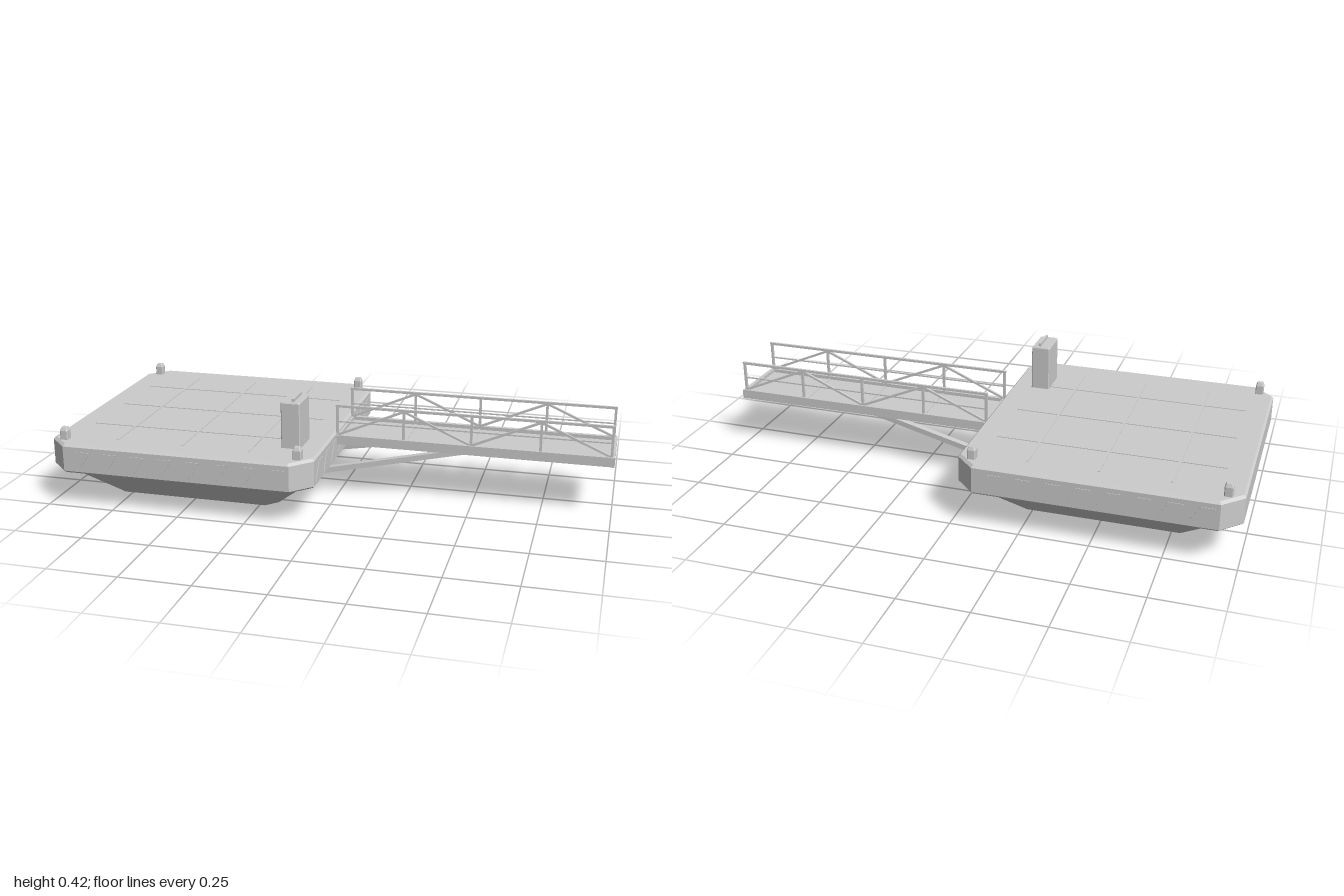
import * as THREE from 'three';

const steel = new THREE.MeshStandardMaterial({ color: 0xcccccc });
steel.name = 'paintedSteel';

function add(parent, name, geometry) {
  const m = new THREE.Mesh(geometry, steel);
  m.name = name;
  parent.add(m);
  return m;
}

function box(parent, name, x0, x1, y0, y1, z0, z1) {
  const m = add(parent, name, new THREE.BoxGeometry(x1 - x0, y1 - y0, z1 - z0));
  m.position.set((x0 + x1) / 2, (y0 + y1) / 2, (z0 + z1) / 2);
  return m;
}

// Square bar running between two points
function bar(parent, name, a, b, w, h = w) {
  const p = new THREE.Vector3(...a), q = new THREE.Vector3(...b);
  const m = add(parent, name, new THREE.BoxGeometry(w, h, p.distanceTo(q)));
  m.position.copy(p).add(q).multiplyScalar(0.5);
  m.lookAt(q);
  return m;
}

// Stacked chamfered rectangles [halfX, halfZ, chamfer, y], capped, with flat faces
function loft(rings) {
  const outline = ([x, z, c, y]) => [
    [x, z - c], [x - c, z], [c - x, z], [-x, z - c],
    [-x, c - z], [c - x, -z], [x - c, -z], [x, c - z],
  ].map(([px, pz]) => [px, y, pz]);
  const loops = rings.map(outline), pos = [];
  const tri = (...pts) => pts.forEach((p) => pos.push(...p));
  for (let r = 0; r < loops.length - 1; r++) {
    for (let i = 0; i < 8; i++) {
      const j = (i + 1) % 8, a = loops[r], b = loops[r + 1];
      tri(a[i], b[j], a[j]);
      tri(a[i], b[i], b[j]);
    }
  }
  const low = loops[0], top = loops[loops.length - 1];
  for (let i = 1; i < 7; i++) {
    tri(low[0], low[i], low[i + 1]);
    tri(top[0], top[i + 1], top[i]);
  }
  const g = new THREE.BufferGeometry();
  g.setAttribute('position', new THREE.Float32BufferAttribute(pos, 3));
  g.computeVertexNormals();
  return g;
}

// Row of slanted plates on one side of the platform
function hazardStripes(parent, name, x, z, angle) {
  const row = new THREE.Group();
  row.name = name;
  row.position.set(x, 0, z);
  row.rotation.y = angle;
  const s = new THREE.Shape();
  s.moveTo(-0.045, 0.15);
  s.lineTo(0.005, 0.15);
  s.lineTo(0.045, 0.213);
  s.lineTo(-0.005, 0.213);
  s.closePath();
  const g = new THREE.ExtrudeGeometry(s, { depth: 0.003, bevelEnabled: false });
  for (let i = 0; i < 8; i++) add(row, 'stripe', g).position.x = -0.364 + i * 0.104;
  parent.add(row);
}

function buildPlatform() {
  const g = new THREE.Group();
  g.name = 'platform';
  g.position.x = -0.505;
  add(g, 'hullUnderside', loft([[0.315, 0.318, 0.04, 0], [0.462, 0.465, 0.06, 0.132]]));
  add(g, 'deckSlab', loft([
    [0.488, 0.493, 0.069, 0.13], [0.495, 0.5, 0.071, 0.137],
    [0.495, 0.5, 0.071, 0.23], [0.487, 0.492, 0.069, 0.239],
  ]));

  // Deck panel seams
  for (const d of [-0.25, 0, 0.25]) {
    box(g, 'deckSeamAlong', -0.41, 0.41, 0.238, 0.2415, d - 0.004, d + 0.004);
    box(g, 'deckSeamAcross', d - 0.004, d + 0.004, 0.238, 0.2415, -0.41, 0.41);
  }
  hazardStripes(g, 'frontStripes', 0, 0.499, 0);
  hazardStripes(g, 'backStripes', 0, -0.499, Math.PI);
  hazardStripes(g, 'gangwaySideStripes', 0.494, 0, Math.PI / 2);

  // Corner bollards
  const post = loft([
    [0.015, 0.015, 0.003, 0.238], [0.015, 0.015, 0.003, 0.272],
    [0.010, 0.010, 0.002, 0.284],
  ]);
  for (const x of [-0.44, 0.44]) {
    for (const z of [-0.44, 0.44]) add(g, 'bollard', post).position.set(x, 0, z);
  }
  return g;
}

function buildConsole() {
  const g = new THREE.Group();
  g.name = 'controlConsole';
  g.position.set(-0.12, 0, 0.283);
  add(g, 'consoleCabinet', loft([
    [0.035, 0.062, 0.003, 0.238], [0.035, 0.062, 0.003, 0.405],
    [0.032, 0.059, 0.003, 0.41],
  ]));
  box(g, 'consoleTopFin', 0.003, 0.012, 0.408, 0.421, -0.05, 0.05);
  return g;
}

function buildGangway() {
  const g = new THREE.Group();
  g.name = 'gangway';
  box(g, 'walkway', -0.02, 0.995, 0.2, 0.212, -0.116, 0.116);
  box(g, 'endBeam', 0.985, 1, 0.19, 0.225, -0.126, 0.126);
  box(g, 'hingeBeam', -0.02, 0, 0.19, 0.225, -0.126, 0.126);
  for (const z of [-0.045, 0.045]) {
    box(g, 'underBeam', 0, 0.99, 0.19, 0.202, z - 0.008, z + 0.008);
  }
  for (const x of [0.245, 0.49, 0.735]) {
    box(g, 'walkwaySeam', x - 0.004, x + 0.004, 0.211, 0.2145, -0.11, 0.11);
  }

  for (const s of [-1, 1]) {
    const z = s * 0.113;
    box(g, 'sideBeam', -0.015, 0.998, 0.19, 0.225, s * 0.1155 - 0.008, s * 0.1155 + 0.008);

    // Truss railing
    const xs = [-0.008, 0.241, 0.49, 0.739, 0.988];
    bar(g, 'handrail', [-0.014, 0.336, z], [0.994, 0.336, z], 0.009);
    bar(g, 'midRail', [-0.01, 0.276, z], [0.99, 0.276, z], 0.005);
    for (const x of xs) bar(g, 'railPost', [x, 0.22, z], [x, 0.336, z], 0.009);
    for (let i = 0; i < 4; i++) {
      const [y0, y1] = i % 2 ? [0.332, 0.224] : [0.224, 0.332];
      bar(g, 'railDiagonal', [xs[i], y0, z], [xs[i + 1], y1, z], 0.008);
    }

    // Support strut from the hull to the middle of the walkway
    bar(g, 'supportStrut', [-0.085, 0.083, s * 0.137], [0.5, 0.198, s * 0.08], 0.024, 0.02);
  }
  return g;
}

export function createModel() {
  const model = new THREE.Group();
  model.name = 'floatingPlatform';
  model.add(buildPlatform(), buildConsole(), buildGangway());
  return model;
}
